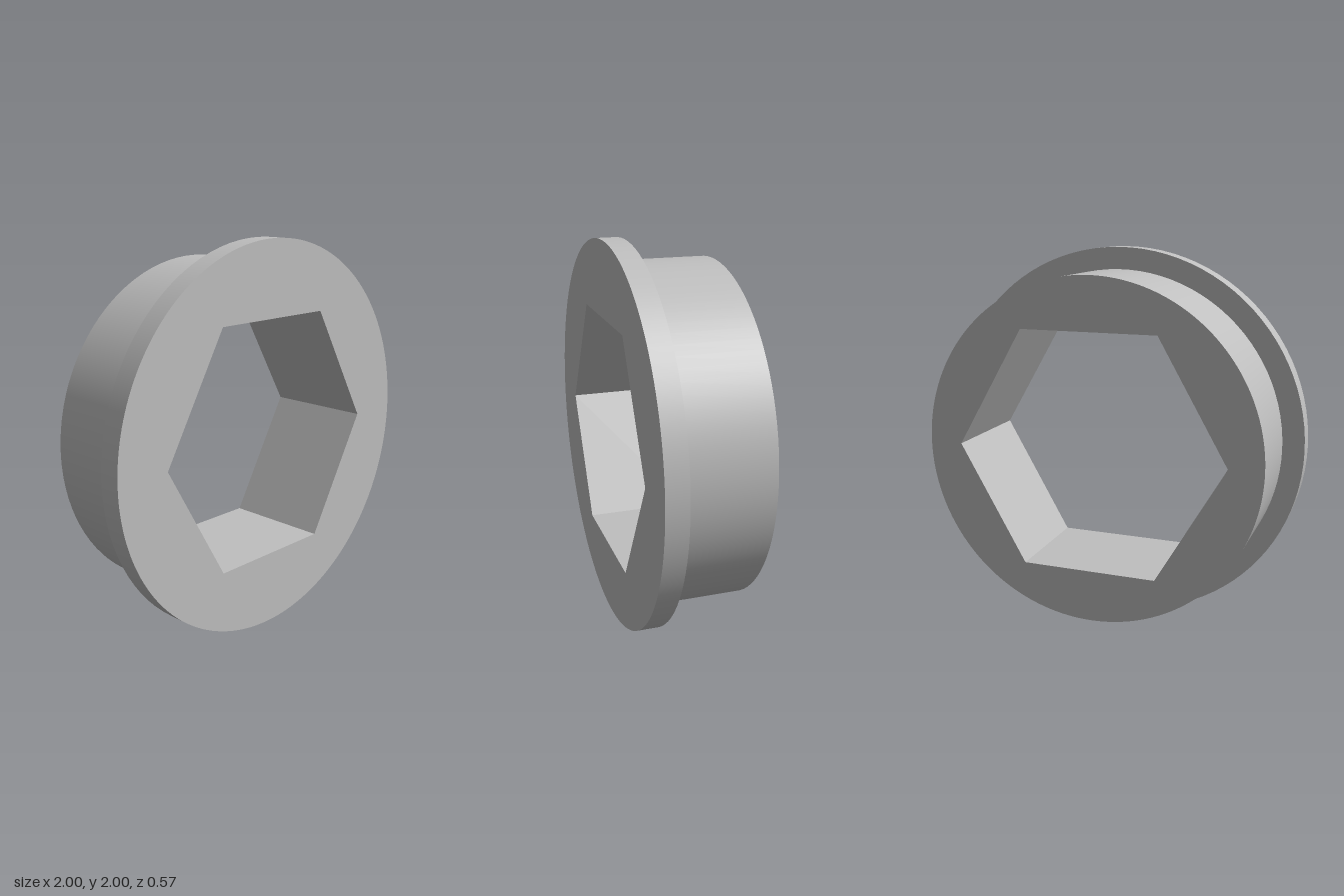
import * as THREE from 'three';

const SEGMENTS = 96;
const FLANGE_RADIUS = 1;
const BODY_RADIUS = 0.887;
const HEX_RADIUS = 0.711;
const FRONT = 0.285, STEP = 0.172, BACK = -0.285;

// Open tube wall along z
function wall(radius, z0, z1, sides) {
  const geometry = new THREE.CylinderGeometry(radius, radius, z1 - z0, sides, 1, true, Math.PI / 2);
  return geometry.rotateX(Math.PI / 2).translate(0, 0, (z0 + z1) / 2);
}

// Round face with a hexagonal hole, facing +z
function hexFace(radius) {
  const shape = new THREE.Shape().absarc(0, 0, radius, 0, Math.PI * 2, false);
  const hex = [];
  for (let i = 0; i < 6; i++) {
    const a = -i * Math.PI / 3;
    hex.push(new THREE.Vector2(HEX_RADIUS * Math.cos(a), HEX_RADIUS * Math.sin(a)));
  }
  shape.holes.push(new THREE.Path(hex));
  return new THREE.ShapeGeometry(shape, SEGMENTS);
}

export function createModel() {
  const grey = new THREE.MeshStandardMaterial({ color: 0xbfbfbf });
  grey.name = 'grey';
  const model = new THREE.Group();
  model.name = 'flangedHexBushing';

  const add = (name, geometry) => {
    const mesh = new THREE.Mesh(geometry, grey);
    mesh.name = name;
    mesh.position.y = 1;
    model.add(mesh);
  };

  // Flange: front face, rim and the step behind it
  add('flangeFace', hexFace(FLANGE_RADIUS).translate(0, 0, FRONT));
  add('flangeRim', wall(FLANGE_RADIUS, STEP, FRONT, SEGMENTS));
  add('flangeStep', new THREE.RingGeometry(BODY_RADIUS, FLANGE_RADIUS, SEGMENTS)
    .rotateY(Math.PI).translate(0, 0, STEP));

  // Narrower body behind the flange
  add('bodyWall', wall(BODY_RADIUS, BACK, STEP, SEGMENTS));
  add('bodyFace', hexFace(BODY_RADIUS).rotateY(Math.PI).translate(0, 0, BACK));

  // Hexagonal bore, mirrored so its flat faces point inward
  const bore = wall(HEX_RADIUS, BACK, FRONT, 6).scale(-1, 1, 1).toNonIndexed();
  bore.computeVertexNormals();
  add('hexBore', bore);

  return model;
}
